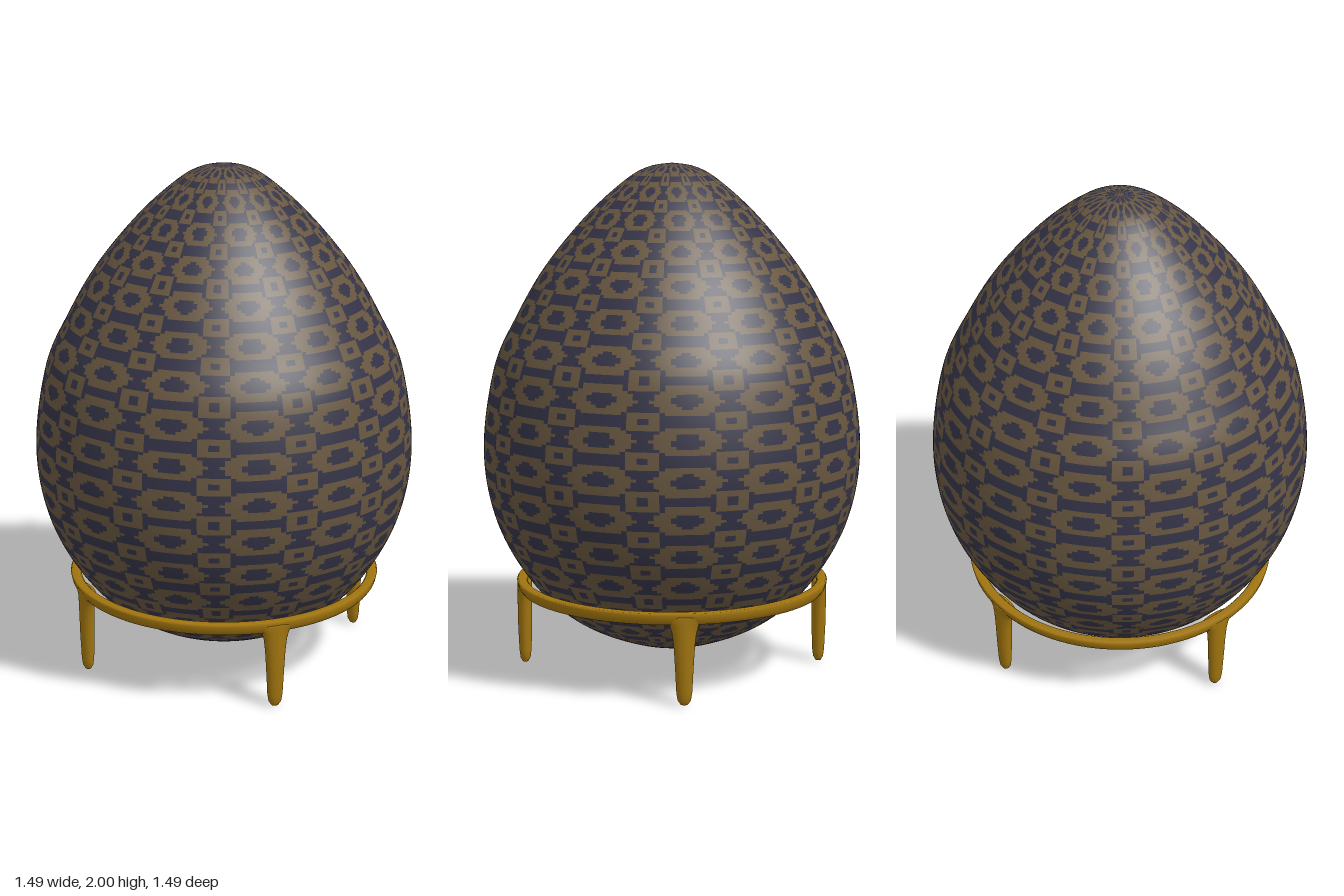
import * as THREE from 'three';

const mat = (name, color, opts = {}) => {
  const m = new THREE.MeshStandardMaterial({ color, ...opts });
  m.name = name;
  return m;
};
const COLUMNS = 14, ROW = 0.147;

// Tile pattern: hexagonal rings, with small rectangular rings between them
function isBrown(u, v) {
  const wrap = (t) => Math.abs(t - Math.round(t));
  let a = wrap(u), b = wrap(v);
  if (b < 0.36 && a < 0.43 - 0.55 * b) return (a / 0.17) ** 2 + (b / 0.19) ** 2 > 1;
  a = wrap(u - 0.5);
  b = wrap(v - 0.5);
  return a < 0.16 && b < 0.24 && !(a < 0.06 && b < 0.09);
}

// Egg shell: surface of revolution whose small faces are sorted into two colours
function eggGeometry() {
  const curve = new THREE.SplineCurve([
    [0, 0.08], [0.165, 0.1], [0.392, 0.2], [0.565, 0.36], [0.697, 0.6], [0.744, 0.88],
    [0.7, 1.2], [0.612, 1.4], [0.495, 1.6], [0.33, 1.8], [0.18, 1.935], [0.09, 1.985], [0, 2],
  ].map(([x, y]) => new THREE.Vector2(x, y)));
  curve.arcLengthDivisions = 600;
  const rows = 240, around = COLUMNS * 16, length = curve.getLength();
  const geo = new THREE.LatheGeometry(curve.getSpacedPoints(rows), around);
  const src = geo.index.array, dark = [], brown = [];
  for (let i = 0; i < around; i++) {
    for (let j = 0; j < rows; j++) {
      const u = ((i + 0.5) / around) * COLUMNS - 0.5;
      const v = (((j + 0.5) / rows) * length) / ROW - 0.25;
      const k = (i * rows + j) * 6;
      (isBrown(u, v) ? brown : dark).push(...src.slice(k, k + 6));
    }
  }
  geo.setIndex(dark.concat(brown));
  geo.clearGroups();
  geo.addGroup(0, dark.length, 0);
  geo.addGroup(dark.length, brown.length, 1);
  return geo;
}

export function createModel() {
  const group = new THREE.Group();
  const gold = mat('gold', 0xa0740f);
  const shell = [mat('dark indigo', 0x343347), mat('brown', 0x67563f)];
  const add = (name, geo, material) => {
    const mesh = new THREE.Mesh(geo, material);
    mesh.name = name;
    group.add(mesh);
    return mesh;
  };

  add('egg', eggGeometry(), shell);

  // Stand ring with a softly bevelled rectangular section
  const ring = [
    [0.59, 0.312], [0.605, 0.315], [0.615, 0.33], [0.62, 0.352], [0.615, 0.36],
    [0.585, 0.36], [0.578, 0.352], [0.578, 0.325], [0.59, 0.312],
  ].map(([x, y]) => new THREE.Vector2(x, y));
  add('standRing', new THREE.LatheGeometry(ring, 96), gold);

  // Tapered legs, flaring sideways into the ring
  const profile = [
    [0, 0], [0.014, 0.004], [0.025, 0.02], [0.03, 0.05], [0.035, 0.15], [0.04, 0.23],
    [0.046, 0.28], [0.057, 0.315], [0.085, 0.338], [0.085, 0.345], [0, 0.345],
  ].map(([x, y]) => new THREE.Vector2(x, y));
  const legGeo = new THREE.LatheGeometry(profile, 24);
  // Keep the flare thin across the ring
  const p = legGeo.attributes.position;
  for (let i = 0; i < p.count; i++) {
    const r = Math.hypot(p.getX(i), p.getZ(i));
    if (r > 0) p.setZ(i, (p.getZ(i) / r) * Math.min(r * 0.8, 0.029));
  }
  legGeo.computeVertexNormals();
  [['frontLeg', -0.036, 0.59], ['backLeg', 0.036, -0.59], ['leftLeg', 0.59, 0], ['rightLeg', -0.59, 0]]
    .forEach(([name, x, z]) => {
      const leg = add(name, legGeo, gold);
      leg.position.set(x, 0, z);
      leg.rotation.y = Math.atan2(x, z);
    });

  return group;
}
